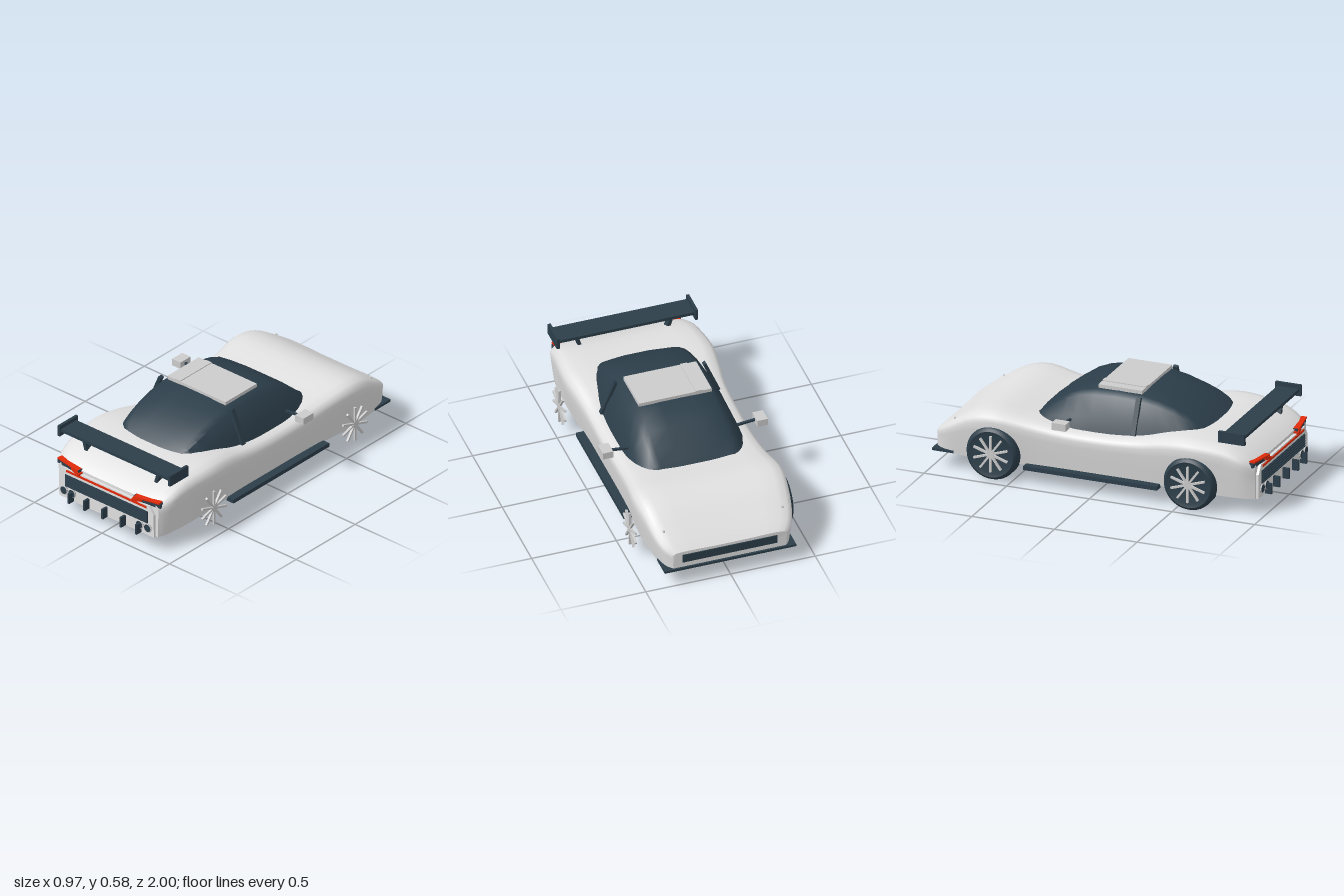
import * as THREE from 'three';
import { toCreasedNormals } from 'three/addons/utils/BufferGeometryUtils.js';

const mat = (name, color) => {
  const m = new THREE.MeshStandardMaterial({ color });
  m.name = name;
  return m;
};

// Skin a list of closed rings (counter-clockwise seen from +z, z rising) and cap both ends
function loft(rings, crease) {
  const n = rings[0].length, pos = [], idx = [];
  rings.forEach(r => r.forEach(p => pos.push(...p)));
  for (let i = 0; i < rings.length - 1; i++)
    for (let j = 0; j < n; j++) {
      const k = (j + 1) % n, a = i * n + j, b = i * n + k, c = a + n, d = b + n;
      idx.push(a, b, d, a, d, c);
    }
  const last = (rings.length - 1) * n;
  for (let j = 1; j < n - 1; j++) idx.push(0, j + 1, j, last, last + j, last + j + 1);
  const g = new THREE.BufferGeometry();
  g.setAttribute('position', new THREE.Float32BufferAttribute(pos, 3));
  g.setIndex(idx);
  return toCreasedNormals(g, crease);
}

// Mirror a right-hand half section (from bottom to top) into a full ring
const ring = (half, z) => [
  ...half.map(([x, y]) => [x, y, z]),
  ...half.slice().reverse().map(([x, y]) => [-x, y, z]),
];

// Smoothly resample rows of station values
function smooth(rows, steps) {
  const out = [];
  for (let i = 0; i < rows.length - 1; i++)
    for (let s = 0; s < steps; s++) {
      const t = s / steps, p0 = rows[Math.max(i - 1, 0)], p3 = rows[Math.min(i + 2, rows.length - 1)];
      out.push(rows[i].map((b, k) => {
        const a = p0[k], c = rows[i + 1][k], d = p3[k];
        return b + 0.5 * t * (c - a + t * (2 * a - 5 * b + 4 * c - d + t * (3 * (b - c) + d - a)));
      }));
    }
  out.push(rows[rows.length - 1]);
  return out;
}

export function createModel() {
  const car = new THREE.Group();
  car.name = 'sportsCar';
  const white = mat('bodyWhite', 0xe0e0e0), grey = mat('trimGrey', 0xcccccc);
  const dark = mat('darkBlue', 0x2c3e4a), red = mat('lightRed', 0xe02b0a);

  const add = (name, geo, m, x = 0, y = 0, z = 0) => {
    const mesh = new THREE.Mesh(geo, m);
    mesh.name = name;
    mesh.position.set(x, y, z);
    car.add(mesh);
    return mesh;
  };
  // Box given by its limits on each axis
  const box = (name, m, x0, x1, y0, y1, z0, z1) =>
    add(name, new THREE.BoxGeometry(x1 - x0, y1 - y0, z1 - z0), m, (x0 + x1) / 2, (y0 + y1) / 2, (z0 + z1) / 2);
  // Square bar between two points
  const bar = (name, m, a, b, w, d) => {
    const p = new THREE.Vector3(...a), q = new THREE.Vector3(...b), v = q.clone().sub(p);
    const mesh = add(name, new THREE.BoxGeometry(w, v.length(), d), m);
    mesh.position.copy(p).add(q).multiplyScalar(0.5);
    mesh.quaternion.setFromUnitVectors(new THREE.Vector3(0, 1, 0), v.normalize());
    return mesh;
  };

  // Body shell: z, half width, floor half width, top height
  const body = smooth([
    [-0.988, 0.34, 0.33, 0.215], [-0.95, 0.375, 0.36, 0.245], [-0.88, 0.405, 0.38, 0.293],
    [-0.75, 0.43, 0.395, 0.37], [-0.61, 0.44, 0.4, 0.397], [-0.42, 0.418, 0.385, 0.367],
    [-0.2, 0.41, 0.38, 0.341], [0.05, 0.41, 0.38, 0.34], [0.25, 0.412, 0.38, 0.357],
    [0.4, 0.428, 0.385, 0.39], [0.56, 0.442, 0.395, 0.408], [0.76, 0.425, 0.395, 0.39],
    [0.88, 0.41, 0.385, 0.345], [0.945, 0.37, 0.365, 0.305],
  ], 3);
  add('body', loft(body.map(([z, w, b, t]) => {
    const h = t - 0.095;
    return ring([[b, 0.095], [b + (w - b) * 0.45, 0.095 + h * 0.33], [w - 0.004, 0.095 + h * 0.65],
      [w, 0.095 + h * 0.8], [w * 0.985, 0.095 + h * 0.9], [w * 0.93, t - h * 0.03],
      [w * 0.82, t], [w * 0.6, t], [w * 0.3, t - 0.003]], z);
  }), 0.7), white);

  // Glass canopy: z, base half width, roof half width, top height
  const glass = smooth([
    [-0.43, 0.25, 0.2, 0.362], [-0.4, 0.3, 0.225, 0.387], [-0.24, 0.343, 0.235, 0.505],
    [-0.07, 0.347, 0.235, 0.555], [0.2, 0.347, 0.24, 0.557], [0.4, 0.322, 0.235, 0.508],
    [0.54, 0.295, 0.22, 0.44], [0.62, 0.22, 0.15, 0.384],
  ], 2);
  add('canopy', loft(glass.map(([z, b, w, t]) => ring([
    [b, 0.325], [b - (b - w) * 0.3, 0.325 + (t - 0.325) * 0.4], [w + 0.015, t - (t - 0.325) * 0.14],
    [w - 0.02, t - 0.008], [w * 0.4, t]], z)), 0.7), dark);

  // Roof panel with a raised strip
  box('roofPanel', grey, -0.215, 0.215, 0.553, 0.574, -0.065, 0.2);
  box('roofStrip', grey, -0.16, -0.12, 0.57, 0.579, -0.065, 0.2);

  // Paired parts on both sides
  for (const s of [1, -1]) {
    const side = s > 0 ? 'left' : 'right';
    const sbox = (name, m, x0, x1, ...rest) =>
      box(side + name, m, Math.min(s * x0, s * x1), Math.max(s * x0, s * x1), ...rest);
    bar(side + 'Pillar', dark, [s * 0.262, 0.55, 0.2], [s * 0.345, 0.35, 0.2], 0.02, 0.028);
    sbox('Mirror', grey, 0.425, 0.487, 0.373, 0.415, -0.235, -0.15);
    bar(side + 'MirrorArm', dark, [s * 0.3, 0.38, -0.19], [s * 0.43, 0.394, -0.19], 0.012, 0.014);
    sbox('Skirt', dark, 0.38, 0.432, 0.082, 0.106, -0.43, 0.38);
    sbox('WingEndPlate', dark, 0.4, 0.417, 0.424, 0.49, 0.745, 0.9);
    bar(side + 'WingStrut', dark, [s * 0.285, 0.455, 0.82], [s * 0.258, 0.36, 0.82], 0.02, 0.045);
    add(side + 'WasherJet', new THREE.CylinderGeometry(0.007, 0.007, 0.012, 8), grey, s * 0.35, 0.295, -0.875);

    // Tail light cluster, wrapped round the corner
    const lamp = new THREE.Group();
    lamp.name = side + 'TailLight';
    lamp.position.set(s * 0.29, 0.297, 0.938);
    lamp.rotation.y = s * 0.14;
    const piece = (name, m, w, h, d, x, y, z, tilt) => {
      const p = new THREE.Mesh(new THREE.BoxGeometry(w, h, d), m);
      p.name = name;
      p.position.set(s * x, y, z);
      p.rotation.z = s * tilt;
      lamp.add(p);
    };
    piece('lampHousing', dark, 0.18, 0.028, 0.03, 0.0, 0, 0, 0);
    piece('upperLamp', red, 0.17, 0.009, 0.034, 0.0, 0.014, 0.004, 0.05);
    piece('innerLamp', red, 0.066, 0.016, 0.034, -0.066, -0.004, 0.005, 0.2);
    car.add(lamp);

    // Exhaust pipes
    for (const x of [0.25, 0.31]) {
      const tip = add('exhaustRing', new THREE.TorusGeometry(0.024, 0.004, 6, 20), grey, s * x, 0.143, 0.968);
      tip.name = side + 'ExhaustRing';
      const pipe = add(side + 'Exhaust', new THREE.CylinderGeometry(0.023, 0.023, 0.03, 20), dark, s * x, 0.143, 0.957);
      pipe.rotation.x = Math.PI / 2;
    }

    // Spoked rims
    for (const z of [0.578, -0.615]) {
      const rim = new THREE.Group();
      rim.name = side + (z > 0 ? 'Rear' : 'Front') + 'Rim';
      rim.position.set(s * 0.46, 0.158, z);
      const hub = new THREE.Mesh(new THREE.CylinderGeometry(0.022, 0.022, 0.016, 16), grey);
      hub.name = 'hub';
      hub.rotation.z = Math.PI / 2;
      rim.add(hub);
      for (let i = 0; i < 10; i++) {
        const a = (i / 10) * Math.PI * 2;
        const spoke = new THREE.Mesh(new THREE.BoxGeometry(0.013, 0.1, 0.012), grey);
        spoke.name = 'spoke';
        spoke.position.set(0, Math.cos(a) * 0.057, Math.sin(a) * 0.057);
        spoke.rotation.x = a;
        rim.add(spoke);
      }
      car.add(rim);
    }
  }

  // Tyres, fitted on one side only
  const tyre = [[0, 0.046], [0.115, 0.046], [0.135, 0.052], [0.148, 0.044], [0.155, 0.028],
    [0.155, -0.028], [0.148, -0.044], [0.135, -0.052], [0, -0.052]]
    .reverse().map(([r, y]) => new THREE.Vector2(r, y));
  for (const z of [0.578, -0.615]) {
    const t = add(z > 0 ? 'rearTyre' : 'frontTyre', toCreasedNormals(new THREE.LatheGeometry(tyre, 40), 0.7), dark, -0.407, 0.155, z);
    t.rotation.z = Math.PI / 2;
  }

  // Rear wing
  box('wing', dark, -0.405, 0.405, 0.45, 0.468, 0.76, 0.89);

  // Tail panel with grille, light bar and diffuser fins
  const panel = new THREE.Shape([[-0.35, 0.092], [0.35, 0.092], [0.348, 0.235], [0.315, 0.285],
    [-0.315, 0.285], [-0.348, 0.235]].map(p => new THREE.Vector2(...p)));
  add('tailPanel', new THREE.ExtrudeGeometry(panel, { depth: 0.025, bevelEnabled: false }), white, 0, 0, 0.936);
  box('tailGrille', dark, -0.305, 0.305, 0.17, 0.246, 0.955, 0.966);
  for (let i = 0; i < 5; i++) {
    const y = 0.178 + i * 0.015;
    box('tailSlat', dark, -0.3, 0.3, y - 0.003, y + 0.003, 0.96, 0.972);
  }
  box('lightBar', red, -0.297, 0.297, 0.265, 0.277, 0.95, 0.966);
  for (const x of [-0.25, -0.135, 0, 0.135, 0.25])
    box('diffuserFin', dark, x - 0.007, x + 0.007, 0.092, 0.155, 0.945, 1);

  // Nose intake and splitter
  box('noseIntake', dark, -0.28, 0.28, 0.145, 0.195, -0.994, -0.985);
  box('splitter', dark, -0.388, 0.388, 0.098, 0.112, -1, -0.87);
  return car;
}
